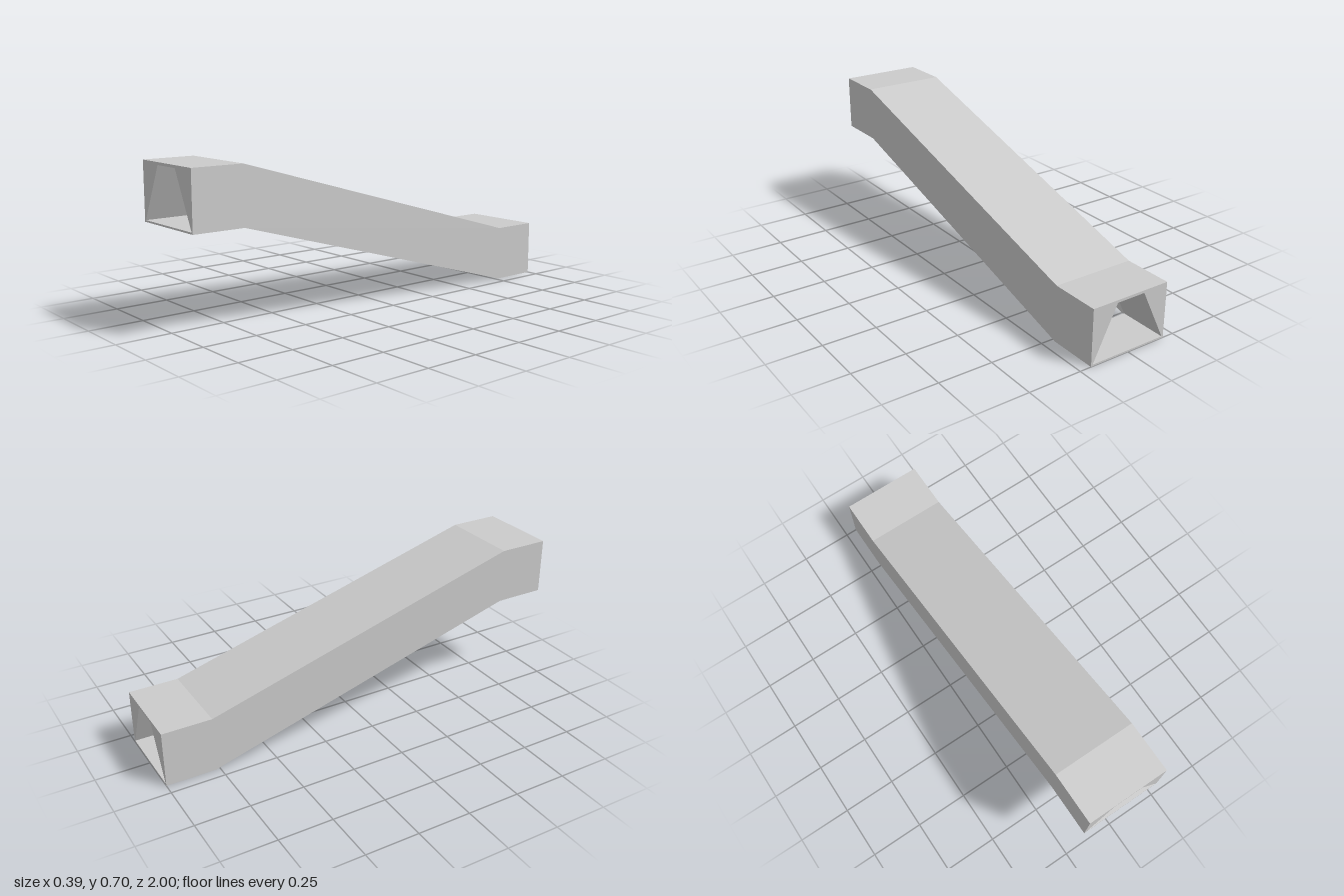
import * as THREE from 'three';

const W = 0.195;            // half width
const H = 0.262;            // height of the cross-section
const WALL = 0.008;         // side wall and floor thickness
const ROOF = 0.012;         // roof thickness
const RISE = 0.44;          // height of the upper end above the lower one
const Z_TOP = 0.76, Z_LOW = -0.77;

const points = (list) => list.map(([x, y]) => new THREE.Vector2(x, y));

export function createModel() {
  const group = new THREE.Group();
  const material = new THREE.MeshStandardMaterial({ color: 0xcccccc, flatShading: true });

  const add = (name, shape, z0, z1, lift) => {
    const geometry = new THREE.ExtrudeGeometry(shape, { depth: z1 - z0, bevelEnabled: false });
    geometry.translate(0, 0, z0);
    // raise each cross-section while keeping it upright
    const p = geometry.attributes.position;
    for (let i = 0; i < p.count; i++) p.setY(i, p.getY(i) + lift(p.getZ(i)));
    geometry.computeVertexNormals();
    const mesh = new THREE.Mesh(geometry, material);
    mesh.name = name;
    group.add(mesh);
  };

  // level end blocks, each pierced by a trapezoid passage
  const block = new THREE.Shape(points([[-W, 0], [W, 0], [W, H], [-W, H]]));
  const inner = W - WALL;
  block.holes.push(new THREE.Path(points([
    [-inner, WALL], [-0.07, H - ROOF], [0.07, H - ROOF], [inner, WALL],
  ])));
  add('upperEndBlock', block, Z_TOP, 1, () => RISE);
  add('lowerEndBlock', block, -1, Z_LOW, () => 0);

  // sloping channel: roof and two side walls, open underneath
  const channel = new THREE.Shape(points([
    [-W, 0], [-inner, 0], [-inner, H - ROOF], [inner, H - ROOF],
    [inner, 0], [W, 0], [W, H], [-W, H],
  ]));
  add('slopingChannel', channel, Z_LOW, Z_TOP, (z) => RISE * (z - Z_LOW) / (Z_TOP - Z_LOW));

  return group;
}
